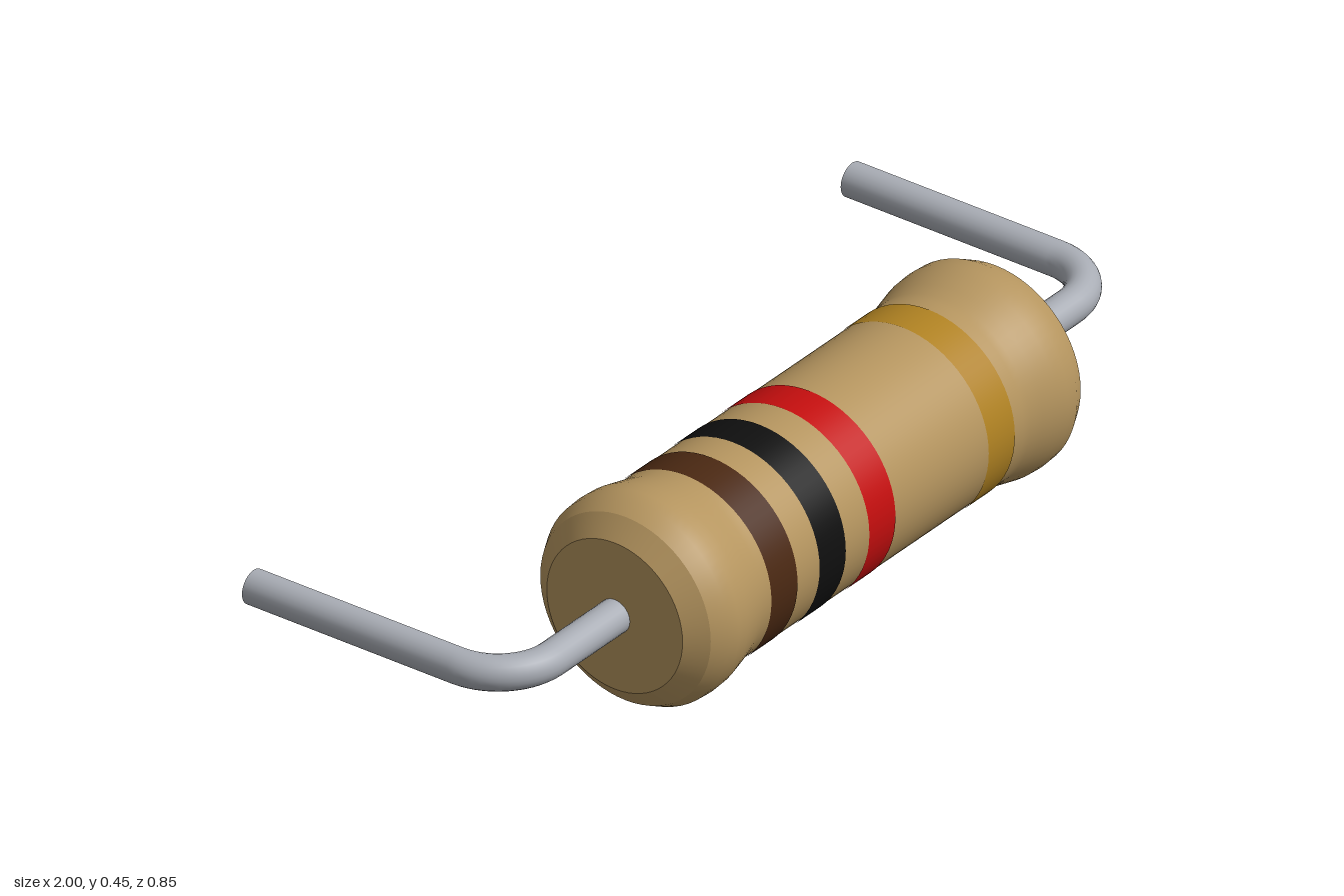
import * as THREE from 'three';

const AXIS_Y = 0.227, AXIS_Z = 0.2;
const SEGMENTS = 64;
const WIRE_R = 0.037;

function material(name, color) {
  const m = new THREE.MeshStandardMaterial({ color });
  m.name = name;
  return m;
}

// Revolve [x, radius] pairs around the x axis
function revolve(pairs) {
  const points = pairs.map(([x, r]) => new THREE.Vector2(r, x));
  return new THREE.LatheGeometry(points, SEGMENTS).rotateZ(-Math.PI / 2);
}

export function createModel() {
  const group = new THREE.Group();
  group.name = 'resistor';

  const tan = material('tan coating', 0xb5955f);
  const metal = material('wire metal', 0xa9adb5);
  const brown = material('brown', 0x4a2812);
  const black = material('black', 0x0f0f0f);
  const red = material('red', 0xc40e0e);
  const gold = material('gold', 0xb08222);

  const add = (name, geometry, mat, parent = group) => {
    const mesh = new THREE.Mesh(geometry, mat);
    mesh.name = name;
    parent.add(mesh);
    return mesh;
  };

  const body = new THREE.Group();
  body.name = 'body';
  body.position.set(0, AXIS_Y, AXIS_Z);
  group.add(body);

  // Barrel with a swollen collar at each end
  const half = [[0.43, 0.209], [0.46, 0.216], [0.5, 0.225], [0.53, 0.227], [0.56, 0.225], [0.595, 0.207]];
  const mirrored = half.map(([x, r]) => [-x, r]).reverse();
  add('barrel', revolve([...mirrored, [-0.41, 0.208], [0.41, 0.208], ...half]), tan, body);

  // Chamfer and flat face on each end
  for (const [side, s] of [['left', 1], ['right', -1]]) {
    const chamfer = [[0.595 * s, 0.207], [0.63 * s, 0.165]];
    if (s < 0) chamfer.reverse();
    add(side + 'Chamfer', revolve(chamfer), tan, body);
    const face = new THREE.CircleGeometry(0.165, SEGMENTS).rotateY(s * Math.PI / 2);
    add(side + 'EndFace', face, tan, body).position.x = 0.63 * s;
  }

  // Painted value bands
  const bands = [
    ['brownBand', -0.361, brown], ['blackBand', -0.206, black],
    ['redBand', -0.046, red], ['goldBand', 0.338, gold],
  ];
  for (const [name, x, mat] of bands) {
    add(name, revolve([[x - 0.042, 0.2095], [x + 0.042, 0.2095]]), mat, body);
  }

  // Bent wire leads running out of the ends and then backward
  const endX = 1 - WIRE_R, bend = 0.13, backZ = -0.426;
  const k = bend * 0.4477;
  for (const [side, s] of [['left', 1], ['right', -1]]) {
    const p = (x, z) => new THREE.Vector3(x * s, AXIS_Y, z);
    const path = new THREE.CurvePath();
    const bendStart = p(endX - bend, AXIS_Z), bendEnd = p(endX, AXIS_Z - bend);
    path.add(new THREE.LineCurve3(p(0.6, AXIS_Z), bendStart));
    path.add(new THREE.CubicBezierCurve3(bendStart, p(endX - k, AXIS_Z), p(endX, AXIS_Z - k), bendEnd));
    path.add(new THREE.LineCurve3(bendEnd, p(endX, backZ)));
    add(side + 'Lead', new THREE.TubeGeometry(path, 64, WIRE_R, 24), metal);
    const tip = new THREE.CircleGeometry(WIRE_R, 24).rotateY(Math.PI);
    add(side + 'LeadTip', tip, metal).position.copy(p(endX, backZ));
  }

  return group;
}
